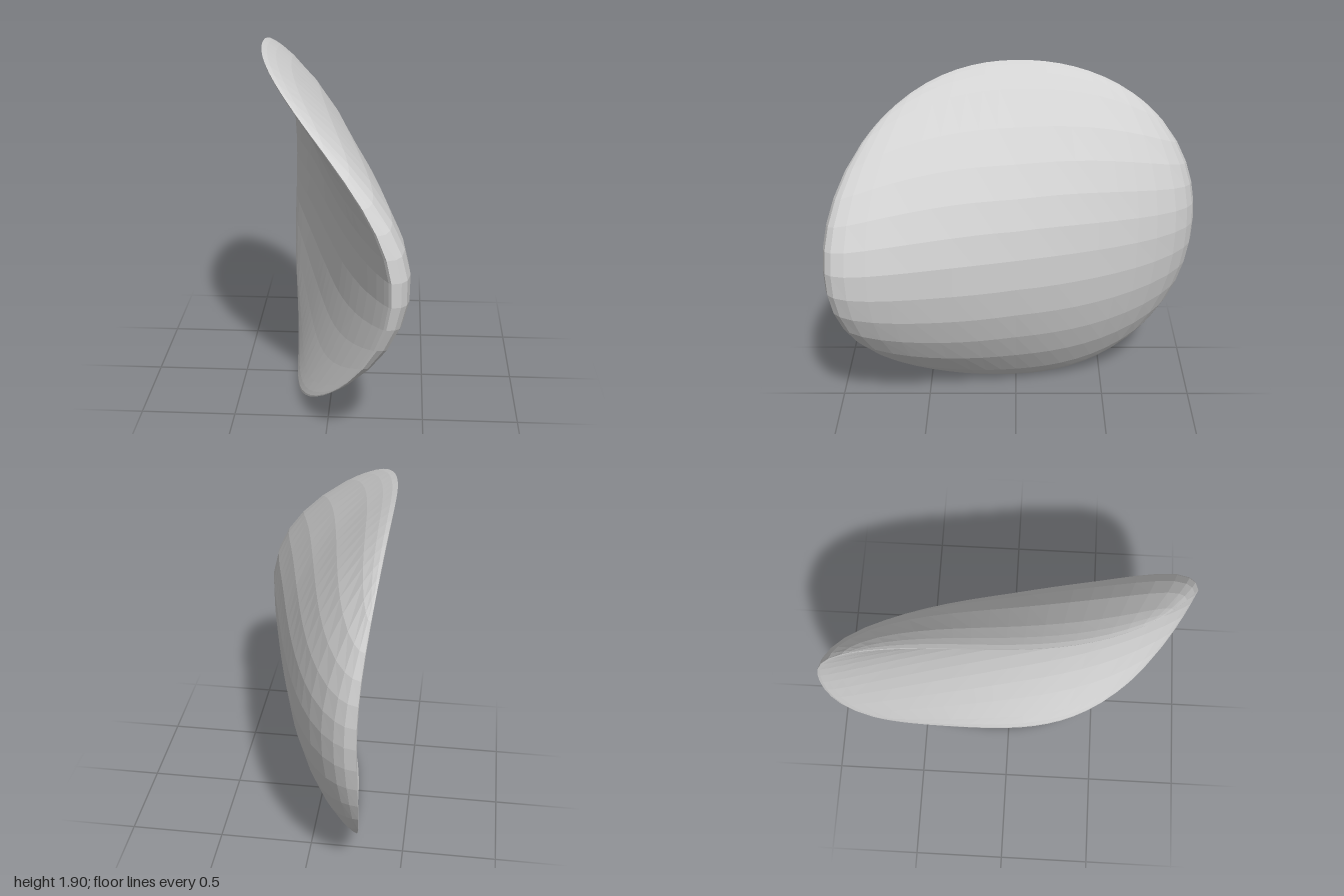
import * as THREE from 'three';

// Height of the rim along x, every 22.5 degrees: front, top, back, bottom
const RIM = [0.32, 0.19, -0.09, -0.29, -0.37, -0.365, -0.33, -0.3,
  -0.285, -0.295, -0.27, -0.24, -0.2, -0.14, 0.05, 0.26];

// Waves around the rim, used to stretch a smooth sheet across it
const WAVES = [0, 1, 2, 3, 4, 5].map((k) => {
  let cos = 0, sin = 0;
  RIM.forEach((x, i) => {
    const angle = k * i * Math.PI / 8;
    cos += x * Math.cos(angle) / (k ? 8 : 16);
    sin += x * Math.sin(angle) / 8;
  });
  return { k, cos, sin };
});

function sheet(r, angle) {
  return WAVES.reduce((x, { k, cos, sin }) =>
    x + r ** k * (cos * Math.cos(k * angle) + sin * Math.sin(k * angle)), 0);
}

// Swelling of the outer and inner faces away from the sheet
function swelling(r, angle, side) {
  const open = Math.max(0, 1 - r * r);
  const rimRound = 0.02 * side * Math.sqrt(Math.max(0, 1 - r ** 8));
  if (side < 0) return 0.14 * open + rimRound;
  return 0.36 * open ** (0.55 + 0.35 * Math.sin(angle) ** 2) + rimRound;
}

// Maps a square grid onto the rounded outline; side is +1 outside, -1 inside
function shellPoint(a, b, side) {
  const c = a * Math.sqrt(1 - b * b / 2);
  const s = b * Math.sqrt(1 - a * a / 2);
  const r = Math.min(1, Math.hypot(c, s));
  const angle = Math.atan2(s, c);
  const n = s > 0 ? 2.15 : 2.1;
  const cos = Math.cos(angle), sin = Math.sin(angle);
  const k = r * (Math.abs(cos) ** n + Math.abs(sin) ** n) ** (-1 / n);
  const x = sheet(r, angle) + swelling(r, angle, side);
  return [x, 1 + k * sin * (s > 0 ? 0.9 : 1), k * cos];
}

// Grid lines, closer together at the rim so that the edge is rounded
function gridLines(inner) {
  const lines = [-1, -0.985, -0.95];
  for (let i = 0; i <= inner; i++) lines.push(-0.88 + 1.76 * i / inner);
  return [...lines, 0.95, 0.985, 1];
}

function shellFace(side) {
  const zs = gridLines(16), ys = gridLines(10);
  const positions = [], index = [];
  for (const b of ys) for (const a of zs) positions.push(...shellPoint(a, b, side));
  const w = zs.length;
  for (let j = 0; j < ys.length - 1; j++) {
    for (let i = 0; i < w - 1; i++) {
      const p = j * w + i, up = p + w;
      if (side > 0) index.push(p, up, up + 1, p, up + 1, p + 1);
      else index.push(p, up + 1, up, p, p + 1, up + 1);
    }
  }
  const geometry = new THREE.BufferGeometry();
  geometry.setAttribute('position', new THREE.Float32BufferAttribute(positions, 3));
  geometry.setIndex(index);
  const flat = geometry.toNonIndexed();
  flat.computeVertexNormals();
  return flat;
}

export function createModel() {
  const group = new THREE.Group();
  group.name = 'curvedShell';
  const grey = new THREE.MeshStandardMaterial({ color: 0xd2d2d2 });
  grey.name = 'grey';
  // Convex outside and hollow inside meet at the rim
  for (const [name, side] of [['outerFace', 1], ['innerFace', -1]]) {
    const mesh = new THREE.Mesh(shellFace(side), grey);
    mesh.name = name;
    group.add(mesh);
  }
  return group;
}
